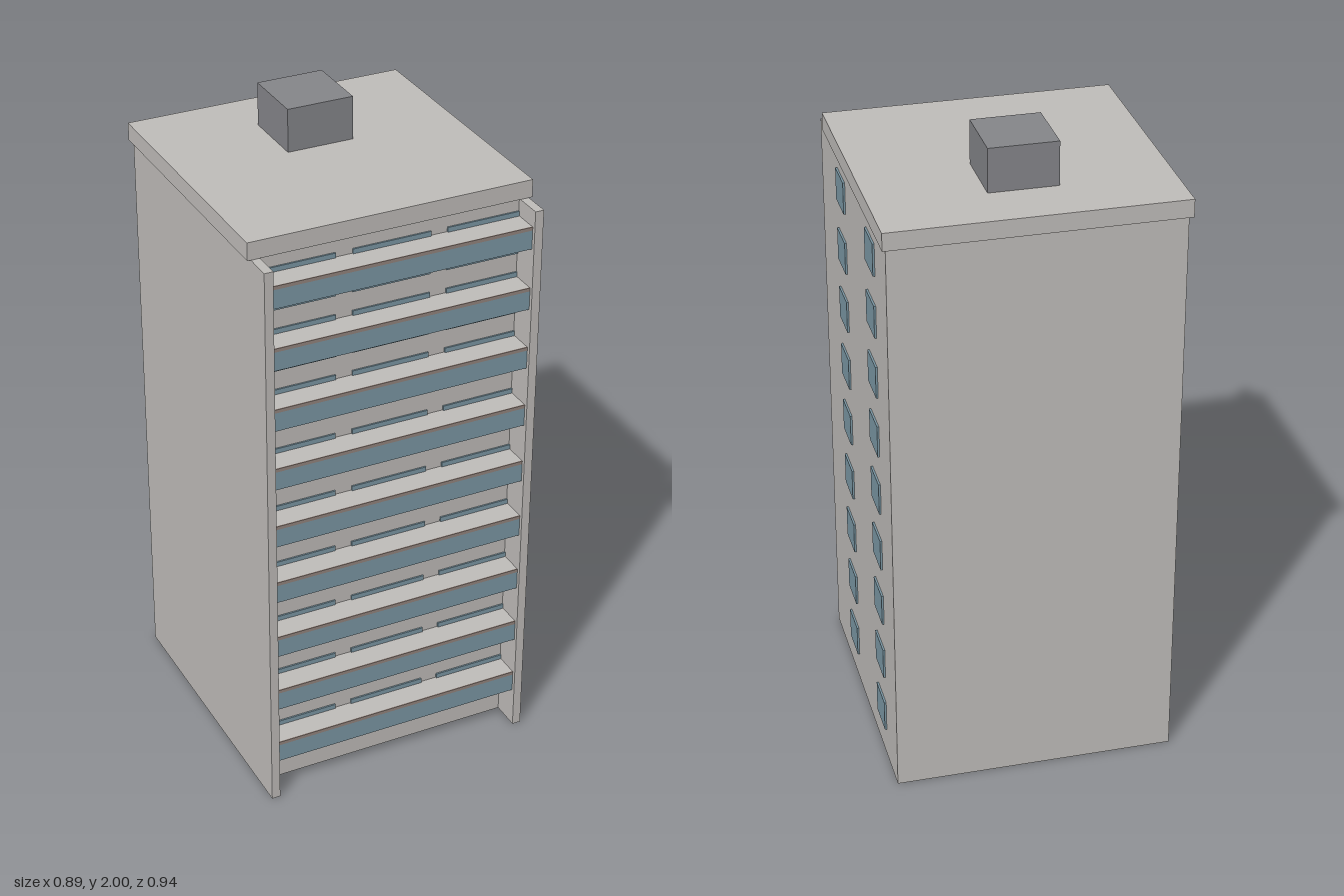
import * as THREE from 'three';

export function createModel() {
  const model = new THREE.Group();
  model.name = 'apartmentTower';

  const material = (name, color) => {
    const m = new THREE.MeshStandardMaterial({ color });
    m.name = name;
    return m;
  };
  const concrete = material('concrete', 0xc0bdba);
  const glass = material('blueGlass', 0x7c98a5);
  const darkGrey = material('darkGrey', 0x85868a);
  const trim = material('brownTrim', 0x94857e);

  // Box given by its extents on each axis
  const box = (name, mat, [x0, x1], [y0, y1], [z0, z1], parent = model) => {
    const mesh = new THREE.Mesh(new THREE.BoxGeometry(x1 - x0, y1 - y0, z1 - z0), mat);
    mesh.position.set((x0 + x1) / 2, (y0 + y1) / 2, (z0 + z1) / 2);
    mesh.name = name;
    parent.add(mesh);
    return mesh;
  };

  const floors = 9;
  const step = 0.195;
  const halfWidth = 0.432;
  const finInner = 0.405;
  const wallFront = 0.375;

  // Main block, roof slab and rooftop plant room
  box('mainBlock', concrete, [-halfWidth, halfWidth], [0, 1.81], [-0.457, wallFront]);
  box('roofSlab', concrete, [-0.443, 0.443], [1.81, 1.865], [-0.468, 0.382]);
  box('plantRoom', darkGrey, [-0.104, 0.104], [1.865, 2], [-0.288, -0.08]);

  // Side walls running forward past the balconies
  box('leftFin', concrete, [finInner, halfWidth], [0, 1.81], [wallFront, 0.468]);
  box('rightFin', concrete, [-halfWidth, -finInner], [0, 1.81], [wallFront, 0.468]);

  for (let i = 0; i < floors; i++) {
    const y = i * step;
    const floor = new THREE.Group();
    floor.name = `floor${i + 1}`;
    model.add(floor);

    // Front windows
    for (const [x0, x1] of [[-finInner, -0.175], [-0.122, 0.122], [0.175, finInner]]) {
      box('frontWindow', glass, [x0, x1], [y + 0.077, y + 0.212], [wallFront, wallFront + 0.005], floor);
    }

    // Balcony slab with edge trim and glass band
    box('balconySlab', concrete, [-finInner, finInner], [y + 0.186, y + 0.197], [wallFront, 0.452], floor);
    box('slabTrim', trim, [-finInner, finInner], [y + 0.186, y + 0.197], [0.452, 0.456], floor);
    box('balconyGlass', glass, [-finInner, finInner], [y + 0.127, y + 0.186], [0.447, 0.456], floor);

    // Windows on the left side wall
    for (const z of [0.165, -0.25]) {
      box('sideWindow', glass, [halfWidth, halfWidth + 0.006], [y + 0.096, y + 0.197], [z - 0.056, z + 0.056], floor);
    }
  }

  return model;
}
